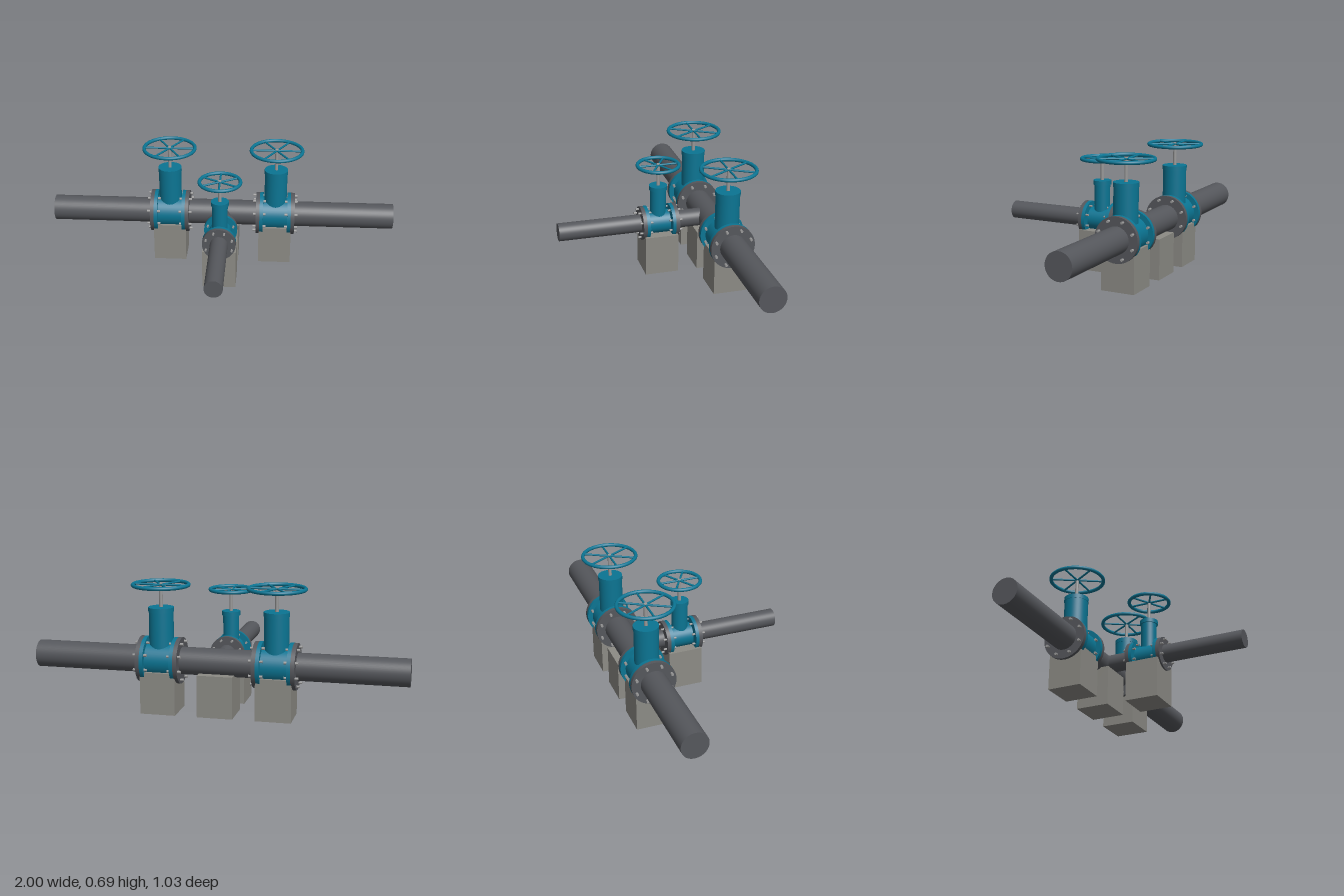
import * as THREE from 'three';

const mat = (color) => new THREE.MeshStandardMaterial({ color });

export function createModel() {
  const root = new THREE.Group();
  root.name = 'pipeManifold';
  const pipeMat = mat(0x55575c), valveMat = mat(0x0b7593);
  const blockMat = mat(0x8c8b85), steelMat = mat(0x999999);
  const AXIS = 0.28, MAIN_Z = -0.355, BRANCH_Z = -0.055;

  function add(parent, name, geometry, material, x = 0, y = 0, z = 0) {
    const mesh = new THREE.Mesh(geometry, material);
    mesh.name = name;
    mesh.position.set(x, y, z);
    parent.add(mesh);
    return mesh;
  }

  // Cylinder lying along x between x0 and x1
  function barX(parent, name, r, x0, x1, material, y = 0, z = 0, sides = 48) {
    const g = new THREE.CylinderGeometry(r, r, x1 - x0, sides).rotateZ(-Math.PI / 2);
    return add(parent, name, g, material, (x0 + x1) / 2, y, z);
  }

  // Upright cylinder between y0 and y1
  function post(parent, name, r, y0, y1, material, sides = 48) {
    return add(parent, name, new THREE.CylinderGeometry(r, r, y1 - y0, sides), material, 0, (y0 + y1) / 2, 0);
  }

  // Gate valve with its bore along x, centred on the pipe axis
  function valve(name, s) {
    const v = new THREE.Group();
    v.name = name;
    barX(v, 'valveBody', s.body, -s.bodyHalf, s.bodyHalf, valveMat);

    // Flange pairs and their bolts on both ends
    for (const side of [-1, 1]) {
      const end = new THREE.Group();
      end.name = 'flangeJoint';
      if (side < 0) end.rotation.y = Math.PI;
      v.add(end);
      barX(end, 'valveFlange', s.flange, s.inner, s.seam, valveMat);
      barX(end, 'pipeFlange', s.flange, s.seam, s.outer, pipeMat);
      for (let i = 0; i < 8; i++) {
        const a = (i + 0.5) * Math.PI / 4;
        barX(end, 'bolt', s.bolt, s.inner - 0.016, s.outer + 0.017, steelMat,
          s.boltCircle * Math.sin(a), s.boltCircle * Math.cos(a), 12);
      }
    }

    // Bonnet, cap and stem
    post(v, 'bonnet', s.bonnet, 0, s.top - 0.01, valveMat);
    post(v, 'bonnetCap', s.cap, s.top - 0.024, s.top, valveMat);
    post(v, 'stem', 0.0097, s.top - 0.01, s.wheelY + 0.008, steelMat, 20);

    // Handwheel with three bars crossing the hub
    const wheel = new THREE.Group();
    wheel.name = 'handwheel';
    wheel.position.y = s.wheelY;
    v.add(wheel);
    const ring = s.wheel - 0.01;
    add(wheel, 'rim', new THREE.TorusGeometry(ring, 0.01, 14, 64).rotateX(Math.PI / 2), valveMat);
    for (let i = 0; i < 3; i++) {
      barX(wheel, 'spoke', 0.0055, -ring, ring, valveMat, 0, 0, 12).rotation.y = i * Math.PI / 3;
    }
    root.add(v);
    return v;
  }

  // Pipes: straight main run and a tee branch to the front
  barX(root, 'mainPipeLeft', 0.073, 0.39, 1, pipeMat, AXIS, MAIN_Z);
  barX(root, 'mainPipeRight', 0.073, -1, -0.39, pipeMat, AXIS, MAIN_Z);
  barX(root, 'mainPipeMiddle', 0.073, -0.23, 0.23, pipeMat, AXIS, MAIN_Z);
  for (const [name, z0, z1] of [['branchPipeInner', MAIN_Z, -0.14], ['branchPipeOuter', 0.03, 0.515]]) {
    add(root, name, new THREE.CylinderGeometry(0.05, 0.05, z1 - z0, 48).rotateX(Math.PI / 2),
      pipeMat, 0, AXIS, (z0 + z1) / 2);
  }

  // Two large valves on the main run, a smaller one on the branch
  const large = {
    body: 0.095, bodyHalf: 0.072, flange: 0.123, inner: 0.071, seam: 0.091, outer: 0.113,
    bolt: 0.0075, boltCircle: 0.104, bonnet: 0.0655, cap: 0.068, top: 0.284, wheelY: 0.403, wheel: 0.157,
  };
  const small = {
    body: 0.064, bodyHalf: 0.06, flange: 0.095, inner: 0.064, seam: 0.083, outer: 0.104,
    bolt: 0.006, boltCircle: 0.079, bonnet: 0.044, cap: 0.05, top: 0.221, wheelY: 0.34, wheel: 0.124,
  };
  valve('leftValve', large).position.set(0.31, AXIS, MAIN_Z);
  valve('rightValve', large).position.set(-0.31, AXIS, MAIN_Z);
  const branch = valve('branchValve', small);
  branch.position.set(0, AXIS, BRANCH_Z);
  branch.rotation.y = Math.PI / 2;

  // Support blocks under each valve and the tee
  for (const [x, z] of [[0.31, MAIN_Z], [-0.31, MAIN_Z], [0, MAIN_Z], [0, BRANCH_Z]]) {
    add(root, 'supportBlock', new THREE.BoxGeometry(0.19, 0.226, 0.19), blockMat, x, 0.113, z);
  }
  return root;
}
